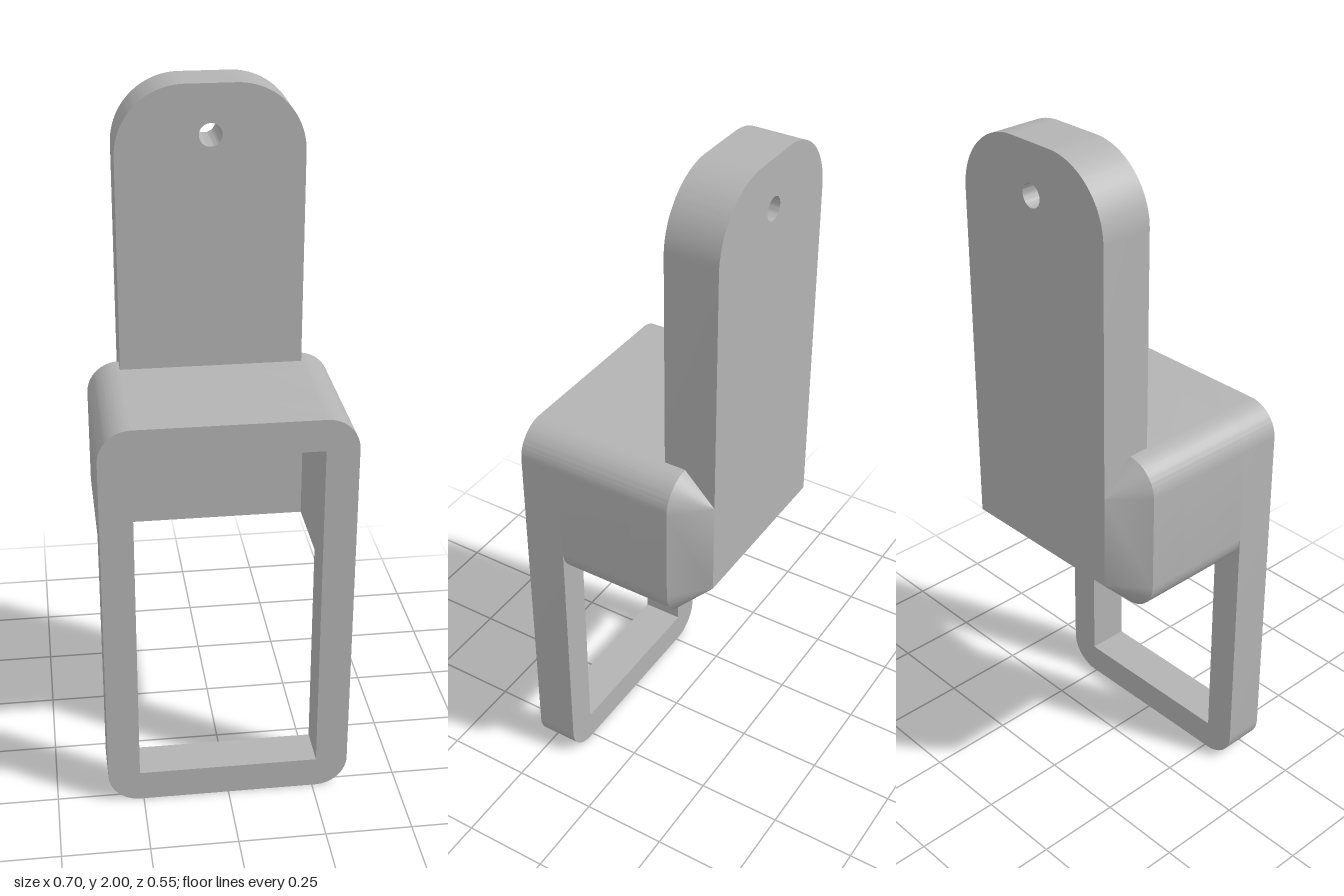
import * as THREE from 'three';
import { toCreasedNormals } from 'three/addons/utils/BufferGeometryUtils.js';

const W = 0.352;               // half width of the housing
const T = 0.092;               // wall thickness, corner radius and bevel
const IN = W - T;              // half width of the opening and the plate
const TOP = 1.197, BASE = 0.735;
const FRONT = 0.277, FRAME_BACK = 0.155, CAVITY_BACK = -0.07;
const BEVEL = -0.187, BACK = -0.277, PLATE_FRONT = -0.125;
const SEG = 16;

// Rectangle with separate corner radii at the bottom and top
function roundedRect(w, y0, y1, r0, r1) {
  const s = new THREE.Shape();
  s.moveTo(-w + r0, y0);
  s.lineTo(w - r0, y0);
  if (r0) s.absarc(w - r0, y0 + r0, r0, -Math.PI / 2, 0);
  s.lineTo(w, y1 - r1);
  s.absarc(w - r1, y1 - r1, r1, 0, Math.PI / 2);
  s.lineTo(-w + r1, y1);
  s.absarc(-w + r1, y1 - r1, r1, Math.PI / 2, Math.PI);
  s.lineTo(-w, y0 + r0);
  if (r0) s.absarc(-w + r0, y0 + r0, r0, Math.PI, Math.PI * 1.5);
  return s;
}

function extrude(shape, z0, z1) {
  const g = new THREE.ExtrudeGeometry(shape, { depth: z1 - z0, bevelEnabled: false, curveSegments: SEG });
  g.translate(0, 0, z0);
  return toCreasedNormals(g, 0.5);
}

// Bevel from the rounded outline to a sharp rectangle: flat sides and cone corners
function bevelGeometry() {
  const outer = [], inner = [];
  const corners = [[IN, BASE + T], [IN, TOP - T], [-IN, TOP - T], [-IN, BASE + T]];
  corners.forEach(([x, y], c) => {
    for (let i = 0; i <= SEG; i++) {
      const a = (c - 1 + i / SEG) * Math.PI / 2;
      outer.push([x + T * Math.cos(a), y + T * Math.sin(a), BEVEL]);
      inner.push([x, y, BACK]);
    }
  });
  const pos = [];
  outer.forEach((p, i) => {
    const j = (i + 1) % outer.length;
    pos.push(...p, ...inner[i], ...outer[j]);
    if (i % (SEG + 1) === SEG) pos.push(...outer[j], ...inner[i], ...inner[j]);
  });
  const g = new THREE.BufferGeometry();
  g.setAttribute('position', new THREE.Float32BufferAttribute(pos, 3));
  return toCreasedNormals(g, 0.5);
}

export function createModel() {
  const group = new THREE.Group();
  const grey = new THREE.MeshStandardMaterial({ color: 0xb3b3b3 });
  grey.name = 'grey';
  const add = (name, geometry) => {
    const mesh = new THREE.Mesh(geometry, grey);
    mesh.name = name;
    group.add(mesh);
  };

  // Tall front frame with its square-cornered opening
  const frame = roundedRect(W, 0, TOP, T, T);
  frame.holes.push(new THREE.Path([
    new THREE.Vector2(-IN, T), new THREE.Vector2(-IN, TOP - T),
    new THREE.Vector2(IN, TOP - T), new THREE.Vector2(IN, T),
  ]));
  add('frontFrame', extrude(frame, FRAME_BACK, FRONT));

  // Housing walls, open at the bottom
  const walls = new THREE.Shape();
  walls.moveTo(IN, BASE);
  walls.absarc(IN, BASE + T, T, -Math.PI / 2, 0);
  walls.absarc(IN, TOP - T, T, 0, Math.PI / 2);
  walls.absarc(-IN, TOP - T, T, Math.PI / 2, Math.PI);
  walls.absarc(-IN, BASE + T, T, Math.PI, Math.PI * 1.5);
  walls.lineTo(-IN, TOP - T);
  walls.lineTo(IN, TOP - T);
  add('housingWalls', extrude(walls, CAVITY_BACK, FRAME_BACK));

  // Back wall of the housing and its bevelled rim
  add('housingBack', extrude(roundedRect(W, BASE, TOP, T, T), BEVEL, CAVITY_BACK));
  add('backBevel', bevelGeometry());

  // Upright hanging plate with a small screw hole
  const plate = roundedRect(IN, BASE + T, 2, 0, 0.19);
  const hole = new THREE.Path();
  hole.absarc(0, 1.862, 0.032, 0, Math.PI * 2, true);
  plate.holes.push(hole);
  add('hangingPlate', extrude(plate, BACK, PLATE_FRONT));

  return group;
}
